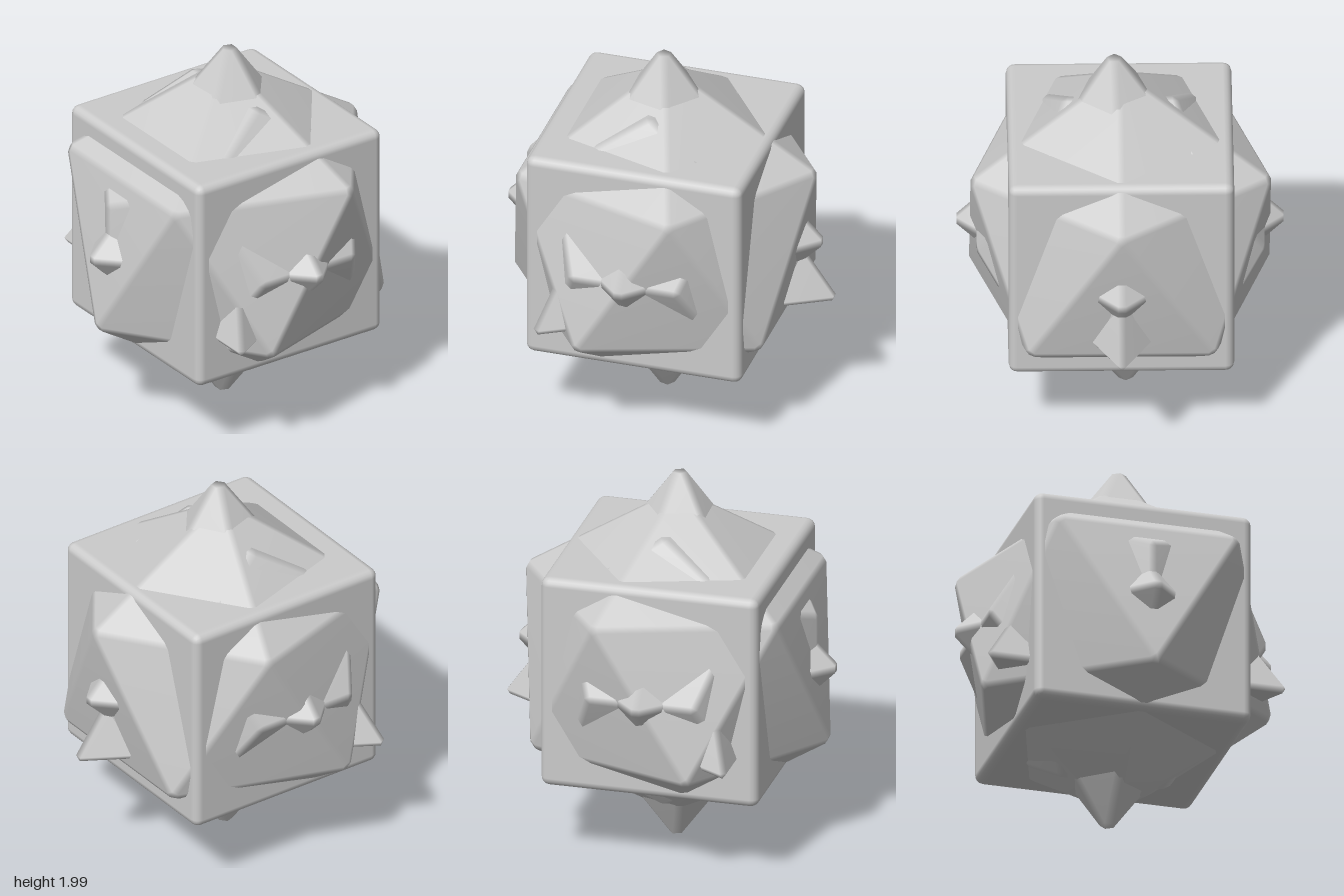
import * as THREE from 'three';
import { ConvexGeometry } from 'three/addons/geometries/ConvexGeometry.js';
import { RoundedBoxGeometry } from 'three/addons/geometries/RoundedBoxGeometry.js';
import { mergeVertices } from 'three/addons/utils/BufferGeometryUtils.js';

const PHI = (1 + Math.sqrt(5)) / 2;

// Ring of n points around the y axis
function ring(n, radius, y, start = 0) {
  return Array.from({ length: n }, (_, i) => {
    const a = start + (i * 2 * Math.PI) / n;
    return new THREE.Vector3(radius * Math.cos(a), y, radius * Math.sin(a));
  });
}

// Convex solid with every edge and corner bevelled by r:
// shrink the solid, then push each face back out along its normal
function bevelledSolid(corners, r) {
  const pos = new ConvexGeometry(corners).getAttribute('position');
  const points = new Map();
  const tri = new THREE.Triangle();
  const n = new THREE.Vector3();
  for (let i = 0; i < pos.count; i += 3) {
    tri.setFromAttributeAndIndices(pos, i, i + 1, i + 2);
    tri.getNormal(n);
    const d = n.dot(tri.a);
    for (const v of [tri.a, tri.b, tri.c]) {
      const p = v.clone().multiplyScalar(1 - r / d).addScaledVector(n, r);
      points.set(p.toArray().map((c) => Math.round(c * 2000)).join(), p);
    }
  }
  const geometry = new ConvexGeometry([...points.values()]);
  geometry.deleteAttribute('normal');
  const smooth = mergeVertices(geometry, 1e-4);
  smooth.computeVertexNormals();
  return smooth;
}

export function createModel() {
  const group = new THREE.Group();
  const material = new THREE.MeshStandardMaterial({ color: 0xcccccc });
  const up = (y) => new THREE.Vector3(0, y, 0);

  function add(name, geometry) {
    const mesh = new THREE.Mesh(geometry, material);
    mesh.name = name;
    mesh.position.set(-0.04, 1, 0);
    group.add(mesh);
    return mesh;
  }

  // Six sides
  add('cube', new RoundedBoxGeometry(1.16, 1.16, 1.16, 2, 0.045));

  // Twenty sides, a corner at top and bottom
  const R = 0.915;
  const ringR = (2 * R) / Math.sqrt(5);
  add('icosahedron', bevelledSolid([
    up(R), up(-R),
    ...ring(5, ringR, ringR / 2),
    ...ring(5, ringR, -ringR / 2, Math.PI / 5),
  ], 0.05));

  // Twelve sides
  const s = 0.465;
  const dodeca = [];
  for (const a of [-s, s]) {
    for (const b of [-s, s]) {
      for (const c of [-s, s]) dodeca.push(new THREE.Vector3(a, b, c));
      dodeca.push(
        new THREE.Vector3(0, a * PHI, b / PHI),
        new THREE.Vector3(a * PHI, b / PHI, 0),
        new THREE.Vector3(b / PHI, 0, a * PHI),
      );
    }
  }
  add('dodecahedron', bevelledSolid(dodeca, 0.04));

  // Eight sides, corners on the axes
  add('octahedron', bevelledSolid([up(0.88), up(-0.88), ...ring(4, 0.88, 0)], 0.035));

  // Four sides, standing on a face
  const T = 1.02;
  add('tetrahedron', bevelledSolid([
    up(T), ...ring(3, (T * Math.sqrt(8)) / 3, -T / 3),
  ], 0.023));

  // Ten kite sides, leaning slightly forward
  const H = 1.06;
  const c36 = Math.cos(Math.PI / 5);
  const h = (H * (1 - c36)) / (1 + c36);
  const kites = add('trapezohedron', bevelledSolid([
    up(H), up(-H),
    ...ring(5, 0.7, h),
    ...ring(5, 0.7, -h, Math.PI / 5),
  ], 0.045));
  kites.rotation.x = 0.03;

  return group;
}
